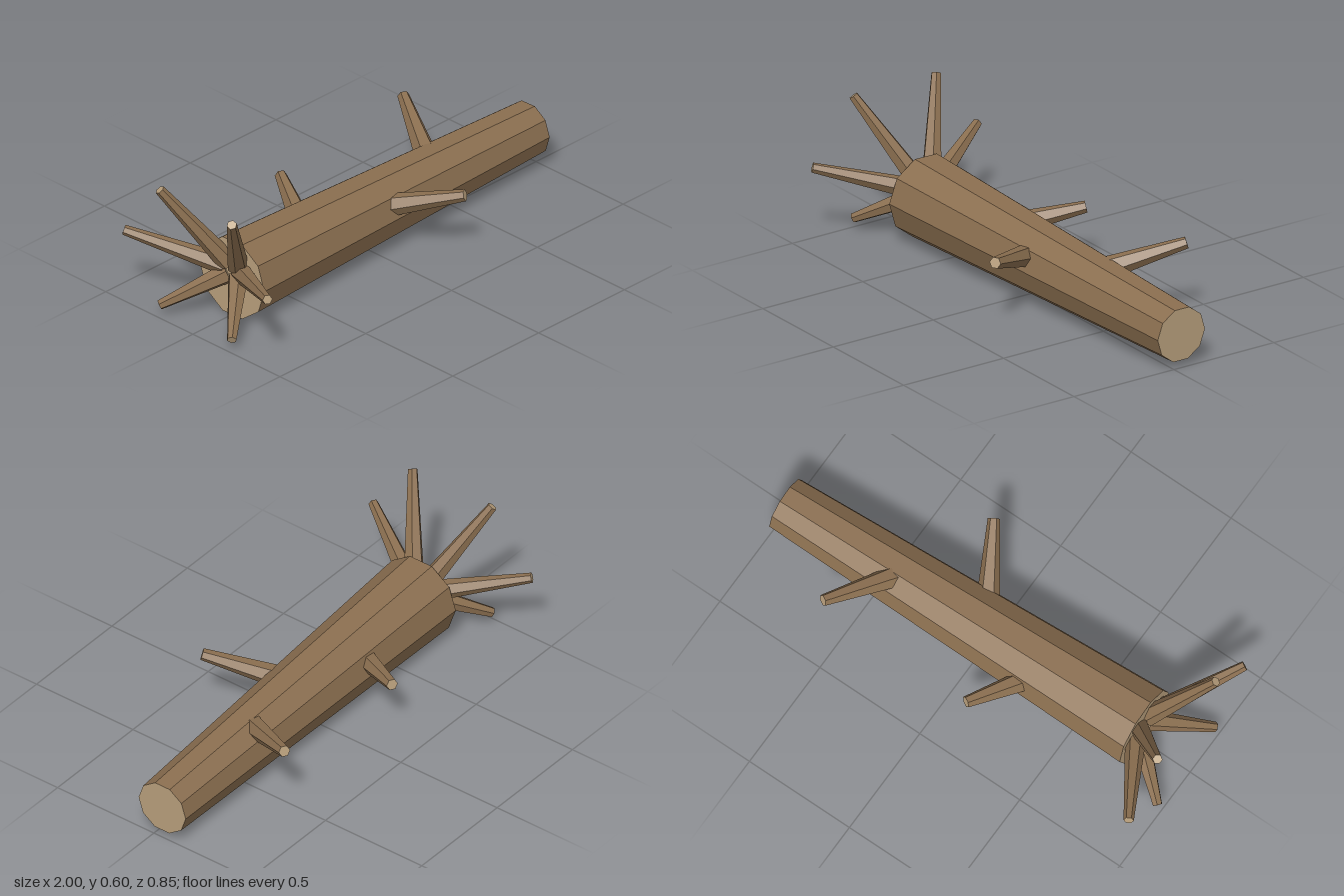
import * as THREE from 'three';

const bark = new THREE.MeshStandardMaterial({ color: 0x8b6f50, flatShading: true });
const cutWood = new THREE.MeshStandardMaterial({ color: 0xb89f7c, flatShading: true });
const UP = new THREE.Vector3(0, 1, 0);

// Tapered faceted limb from one point to another, with pale cut ends
function limb(name, from, to, rFrom, rTo, sides) {
  const a = new THREE.Vector3(...from);
  const b = new THREE.Vector3(...to);
  const dir = b.clone().sub(a);
  const geometry = new THREE.CylinderGeometry(rTo, rFrom, dir.length(), sides);
  const mesh = new THREE.Mesh(geometry, [bark, cutWood, cutWood]);
  mesh.name = name;
  mesh.position.copy(a).add(b).multiplyScalar(0.5);
  mesh.quaternion.setFromUnitVectors(UP, dir.normalize());
  return mesh;
}

export function createModel() {
  const model = new THREE.Group();
  model.name = 'fallenLog';

  // Trunk, tapering towards the cut end
  model.add(limb('trunk', [-0.77, 0.174, 0], [0.996, 0.146, -0.04], 0.18, 0.12, 10));

  // Broken branch stubs
  const branches = [
    [[0.055, 0.203, 0.06], [0.23, 0.297, 0.352]],
    [[0.417, 0.235, -0.05], [0.587, 0.34, -0.355]],
    [[-0.28, 0.19, -0.08], [-0.128, 0.256, -0.355]],
  ];
  branches.forEach(([from, to], i) =>
    model.add(limb('branch' + (i + 1), from, to, 0.05, 0.025, 6)));

  // Roots fanning out of the thick end, mirrored front to back
  const roots = new THREE.Group();
  roots.name = 'roots';
  const rows = [
    ['upperRoot', 0.235, 0.03, 0.592, 0.207],
    ['middleRoot', 0.215, 0.05, 0.322, 0.412],
    ['lowerRoot', 0.185, 0.03, 0.05, 0.207],
  ];
  for (const [name, y0, z0, y1, z1] of rows) {
    for (const s of [1, -1]) {
      roots.add(limb(name + (s > 0 ? 'Front' : 'Back'),
        [-0.765, y0, s * z0], [-0.983, y1, s * z1], 0.045, 0.021, 6));
    }
  }
  model.add(roots);
  return model;
}
